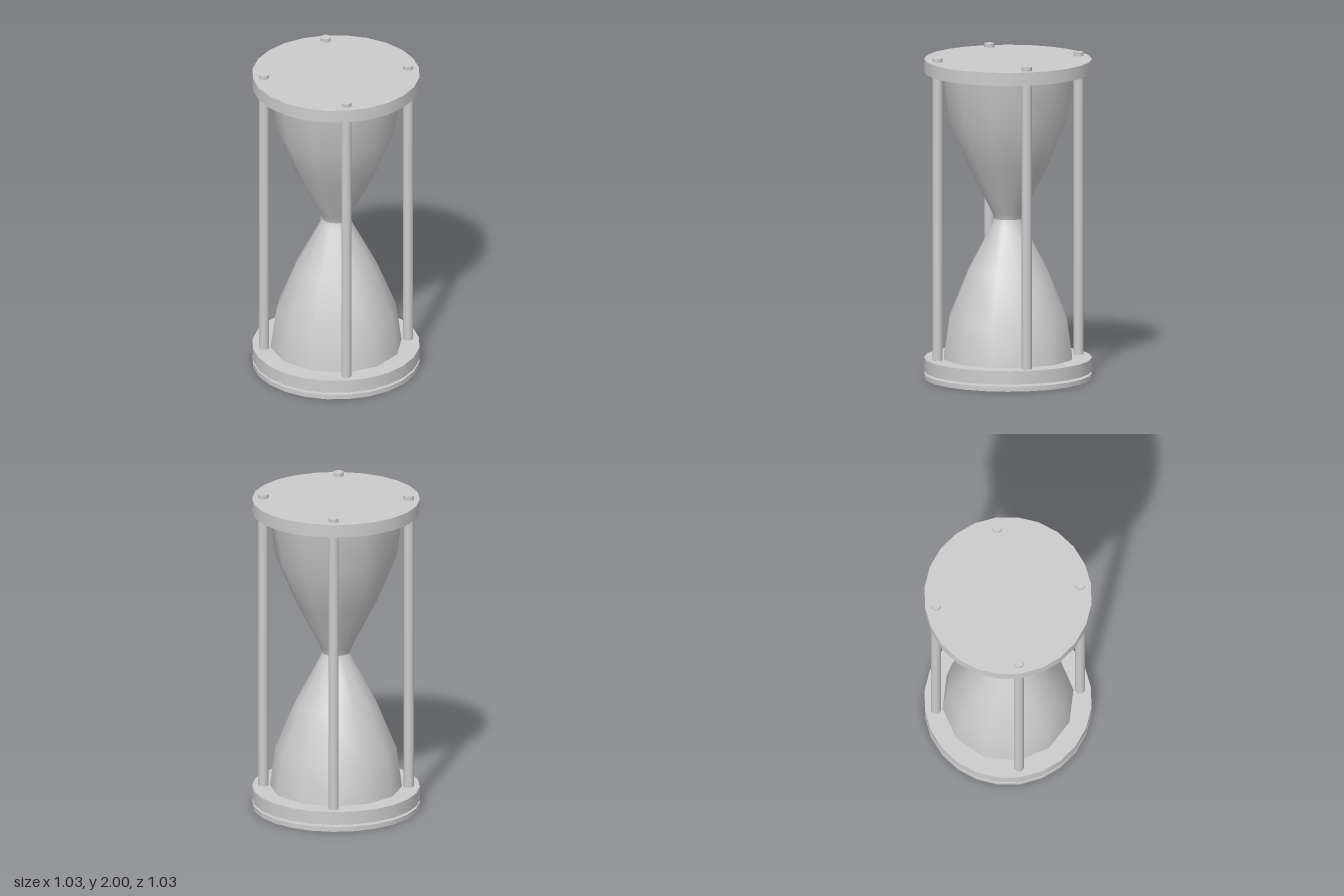
import * as THREE from 'three';

export function createModel() {
  const model = new THREE.Group();
  const wood = new THREE.MeshStandardMaterial({ color: 0xcccccc });
  const glass = new THREE.MeshStandardMaterial({ color: 0xcccccc, side: THREE.DoubleSide });

  const add = (name, geometry, material = wood) => {
    const mesh = new THREE.Mesh(geometry, material);
    mesh.name = name;
    model.add(mesh);
    return mesh;
  };

  // upright cylinder between two heights
  const disc = (name, radius, y0, y1, sides) => {
    const mesh = add(name, new THREE.CylinderGeometry(radius, radius, y1 - y0, sides));
    mesh.position.y = (y0 + y1) / 2;
    return mesh;
  };

  // round end plates and the thin foot disc, separated by a narrow gap
  disc('footDisc', 0.513, 0, 0.03, 24);
  disc('bottomPlate', 0.513, 0.045, 0.127, 24);
  disc('topPlate', 0.513, 1.895, 1.976, 24);

  // four posts that poke through the top plate
  for (let i = 0; i < 4; i++) {
    const angle = (i * Math.PI) / 2;
    const post = disc('post', 0.031, 0.05, 2, 24);
    post.position.x = Math.cos(angle) * 0.445;
    post.position.z = Math.sin(angle) * 0.445;
  }

  // two bulbs meeting at the neck
  const bulb = (name, points) => add(
    name,
    new THREE.LatheGeometry(points.map(([r, y]) => new THREE.Vector2(r, y)), 12),
    glass,
  );
  bulb('lowerBulb', [[0.405, 0.12], [0.37, 0.375], [0.25, 0.665], [0.1, 0.95], [0.087, 0.99]]);
  bulb('upperBulb', [[0.087, 0.99], [0.1, 1.03], [0.25, 1.32], [0.37, 1.605], [0.41, 1.9]]);

  return model;
}
